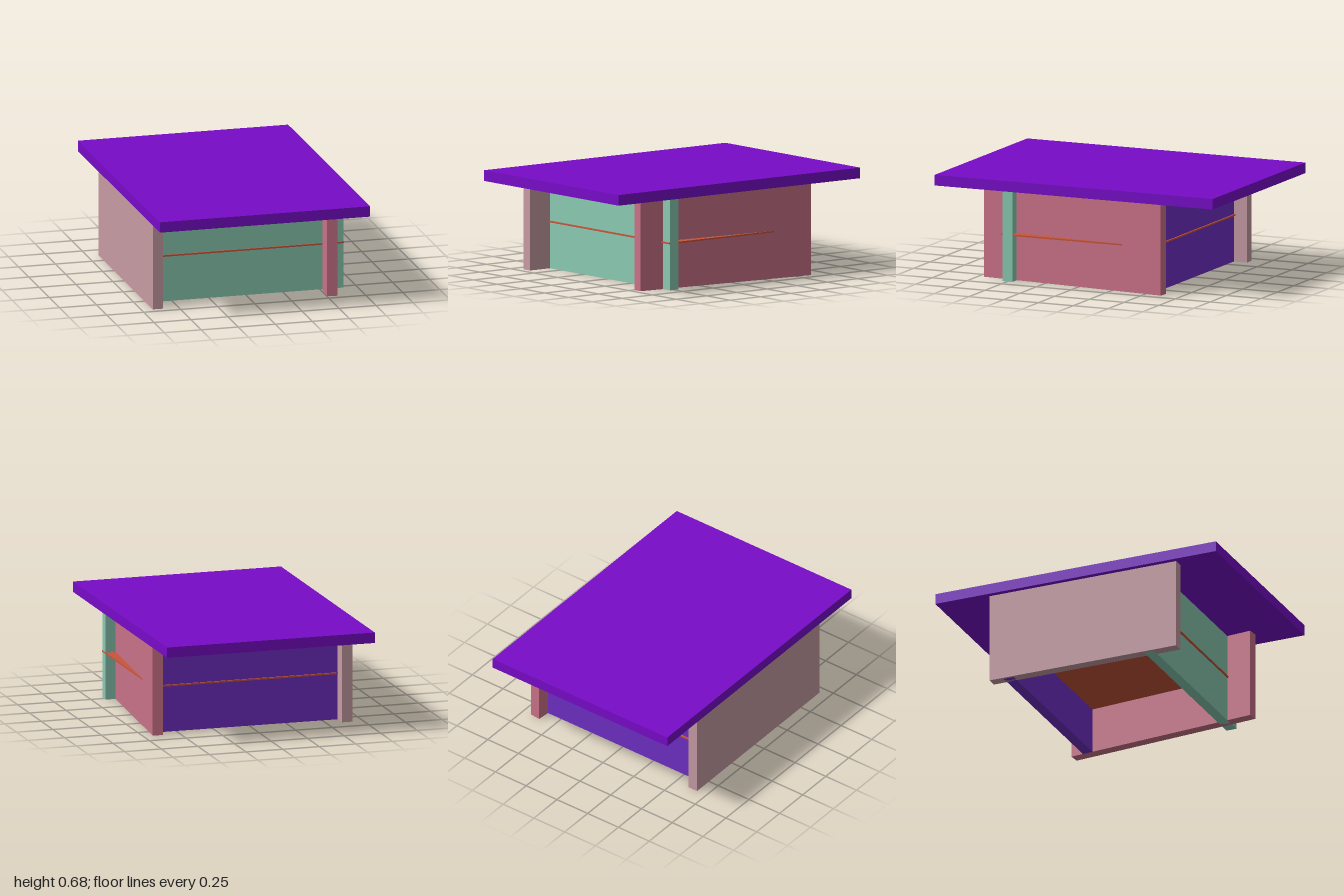
import * as THREE from 'three';

const PANEL_HEIGHT = 0.605;
const THICKNESS = 0.07;

// A box panel given by its size and centre
function panel(name, color, size, position) {
  const mesh = new THREE.Mesh(
    new THREE.BoxGeometry(...size),
    new THREE.MeshStandardMaterial({ color })
  );
  mesh.name = name;
  mesh.position.set(...position);
  return mesh;
}

export function createModel() {
  const table = new THREE.Group();
  table.name = 'table';
  const midY = PANEL_HEIGHT / 2;

  // Overhanging slab
  table.add(panel('tableTop', 0x780bc8, [1.42, 0.07, 2], [0, PANEL_HEIGHT + 0.035, 0]));

  // Cross panels, running between the side panels
  const cross = [1.32, PANEL_HEIGHT, THICKNESS];
  table.add(panel('frontPanel', 0x8acab2, cross, [0, midY, 0.5]));
  table.add(panel('backPanel', 0x6f2fc4, cross, [0, midY, -0.5]));

  // Side panels; the one at +x stands slightly askew
  const side = [THICKNESS, PANEL_HEIGHT, 1.33];
  table.add(panel('rightSidePanel', 0xc79ca4, side, [-0.64, midY, 0.036]));
  const skewed = panel('leftSidePanel', 0xca7288, side, [0.593, midY, 0.045]);
  skewed.rotation.y = -0.086;
  table.add(skewed);

  // Thin shelf through the cross panels, its edge breaking out of the askew side
  table.add(panel('shelf', 0xc8553a, [1.32, 0.01, 1.09], [0, 0.309, 0]));

  return table;
}
